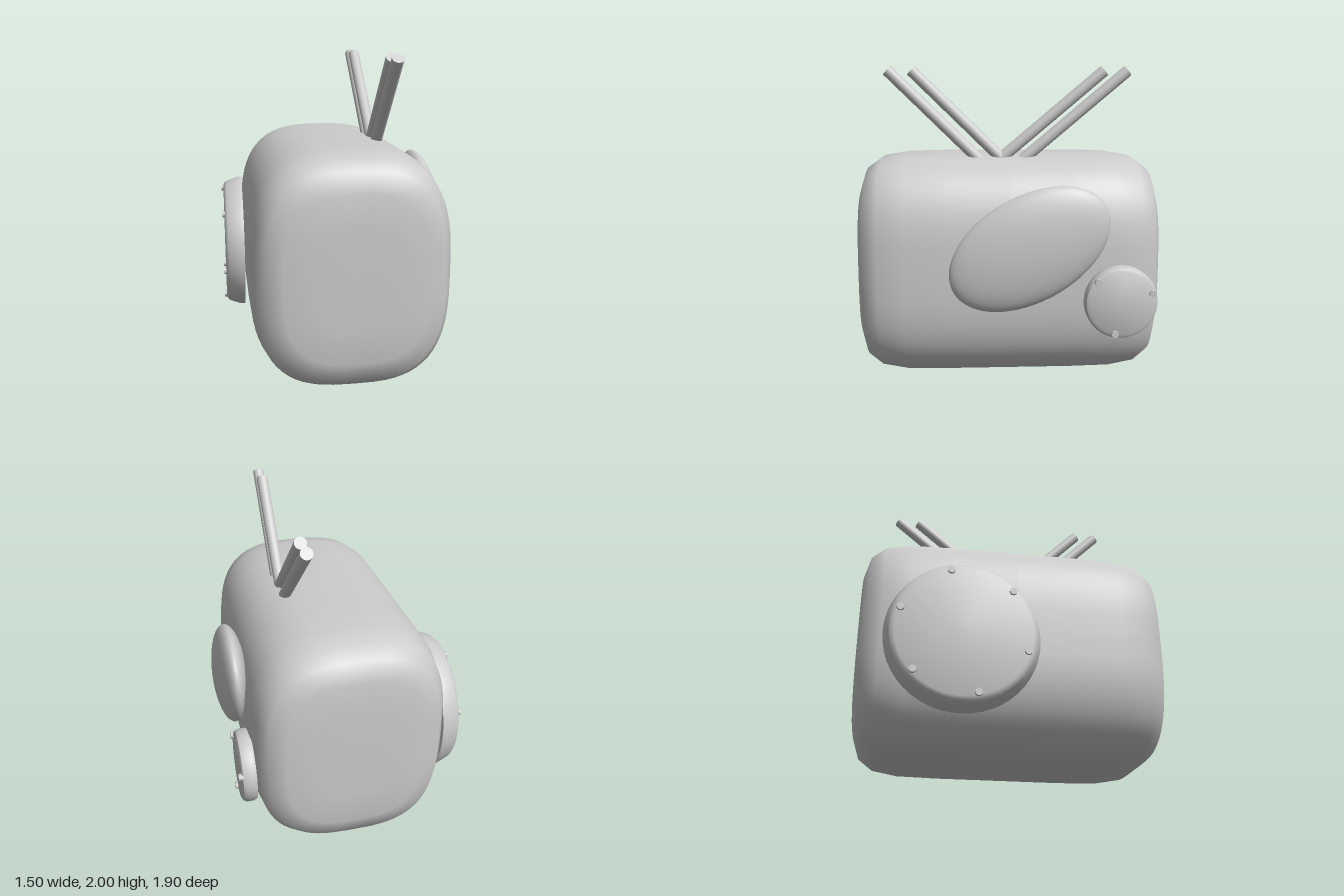
import * as THREE from 'three';
import { toCreasedNormals } from 'three/addons/utils/BufferGeometryUtils.js';

const grey = new THREE.MeshStandardMaterial({ color: 0xcccccc });

function add(parent, geometry, name) {
  const mesh = new THREE.Mesh(geometry, grey);
  mesh.name = name;
  parent.add(mesh);
  return mesh;
}

// Soft box lofted along z from superellipse sections [z, scale]
function bodyGeometry() {
  const half = [[0, 0.996], [0.4, 1], [0.66, 0.993], [0.82, 0.955], [0.91, 0.865], [0.95, 0.7], [0.952, 0.4]];
  const rings = [...half.slice(1).reverse().map(([z, s]) => [-z, s]), [0, 1], ...half.slice(1)];
  const n = 64, pos = [], idx = [];
  const bend = (v) => Math.sign(v) * Math.pow(Math.abs(v), 2 / 3);
  for (const [z, s] of rings) {
    for (let i = 0; i < n; i++) {
      const a = (i / n) * Math.PI * 2;
      pos.push(-0.005 + 0.61 * s * bend(Math.cos(a)), 0.733 + 0.725 * s * bend(Math.sin(a)), z);
    }
  }
  for (let r = 0; r < rings.length - 1; r++) {
    for (let i = 0; i < n; i++) {
      const a = r * n + i, b = r * n + (i + 1) % n;
      idx.push(a, b, b + n, a, b + n, a + n);
    }
  }
  // End caps
  const back = pos.length / 3, front = back + 1, last = (rings.length - 1) * n;
  pos.push(-0.005, 0.733, -0.952, -0.005, 0.733, 0.952);
  for (let i = 0; i < n; i++) {
    const j = (i + 1) % n;
    idx.push(back, j, i, front, last + i, last + j);
  }
  const g = new THREE.BufferGeometry();
  g.setAttribute('position', new THREE.Float32BufferAttribute(pos, 3));
  g.setIndex(idx);
  g.computeVertexNormals();
  return g;
}

// Round side plate with a ring of rivets; profile points are [radius, distance outward]
function sidePlate(name, side, y, z, profile, rivets, ringRadius, startDeg) {
  const group = new THREE.Group();
  group.name = name;
  const turn = -side * Math.PI / 2;
  const lathe = new THREE.LatheGeometry(profile.map(([r, h]) => new THREE.Vector2(r, h)), 48);
  add(group, toCreasedNormals(lathe, 0.6).rotateZ(turn), 'plate');
  const top = profile[profile.length - 1][1];
  for (let i = 0; i < rivets; i++) {
    const a = THREE.MathUtils.degToRad(startDeg + i * 360 / rivets);
    const rivet = add(group, new THREE.CylinderGeometry(0.022, 0.024, 0.04, 10).rotateZ(turn), 'rivet');
    rivet.position.set(side * (top - 0.006), Math.sin(a) * ringRadius, Math.cos(a) * ringRadius);
  }
  group.position.set(0, y, z);
  return group;
}

// Straight rod between two points in the plane x = 0.25
function rod(parent, [z0, y0], [z1, y1], name) {
  const from = new THREE.Vector3(0.25, y0, z0), to = new THREE.Vector3(0.25, y1, z1);
  const dir = to.clone().sub(from);
  const mesh = add(parent, new THREE.CylinderGeometry(0.037, 0.037, dir.length(), 20), name);
  mesh.position.copy(from).add(to).multiplyScalar(0.5);
  mesh.quaternion.setFromUnitVectors(new THREE.Vector3(0, 1, 0), dir.normalize());
}

export function createModel() {
  const model = new THREE.Group();
  model.name = 'model';
  add(model, bodyGeometry(), 'body');

  // Two leaning pairs of rods on the top
  const rods = new THREE.Group();
  rods.name = 'topRods';
  model.add(rods);
  for (const shift of [0, 0.15]) {
    rod(rods, [-0.03 + shift, 1.35], [0.61 + shift, 1.975], 'frontRod');
    rod(rods, [0.11 - shift, 1.37], [-0.61 - shift, 1.975], 'backRod');
  }

  // Tilted oval dome on the left side
  const dome = add(model, new THREE.SphereGeometry(1, 48, 32), 'ovalDome');
  dome.scale.set(0.105, 0.322, 0.53);
  dome.rotation.x = THREE.MathUtils.degToRad(29.6);
  dome.position.set(0.64, 0.9, -0.11);

  // Small plate behind the dome
  model.add(sidePlate('smallPlate', 1, 0.57, -0.67,
    [[0, 0.59], [0.215, 0.59], [0.225, 0.61], [0.225, 0.65], [0.215, 0.672], [0.195, 0.682], [0, 0.684]],
    3, 0.195, 42));

  // Large plate on the opposite side
  model.add(sidePlate('largePlate', -1, 0.65, -0.34,
    [[0, 0.605], [0.46, 0.615], [0.46, 0.645], [0.432, 0.72], [0.42, 0.734], [0.4, 0.741], [0, 0.742]],
    6, 0.385, -17));

  return model;
}
